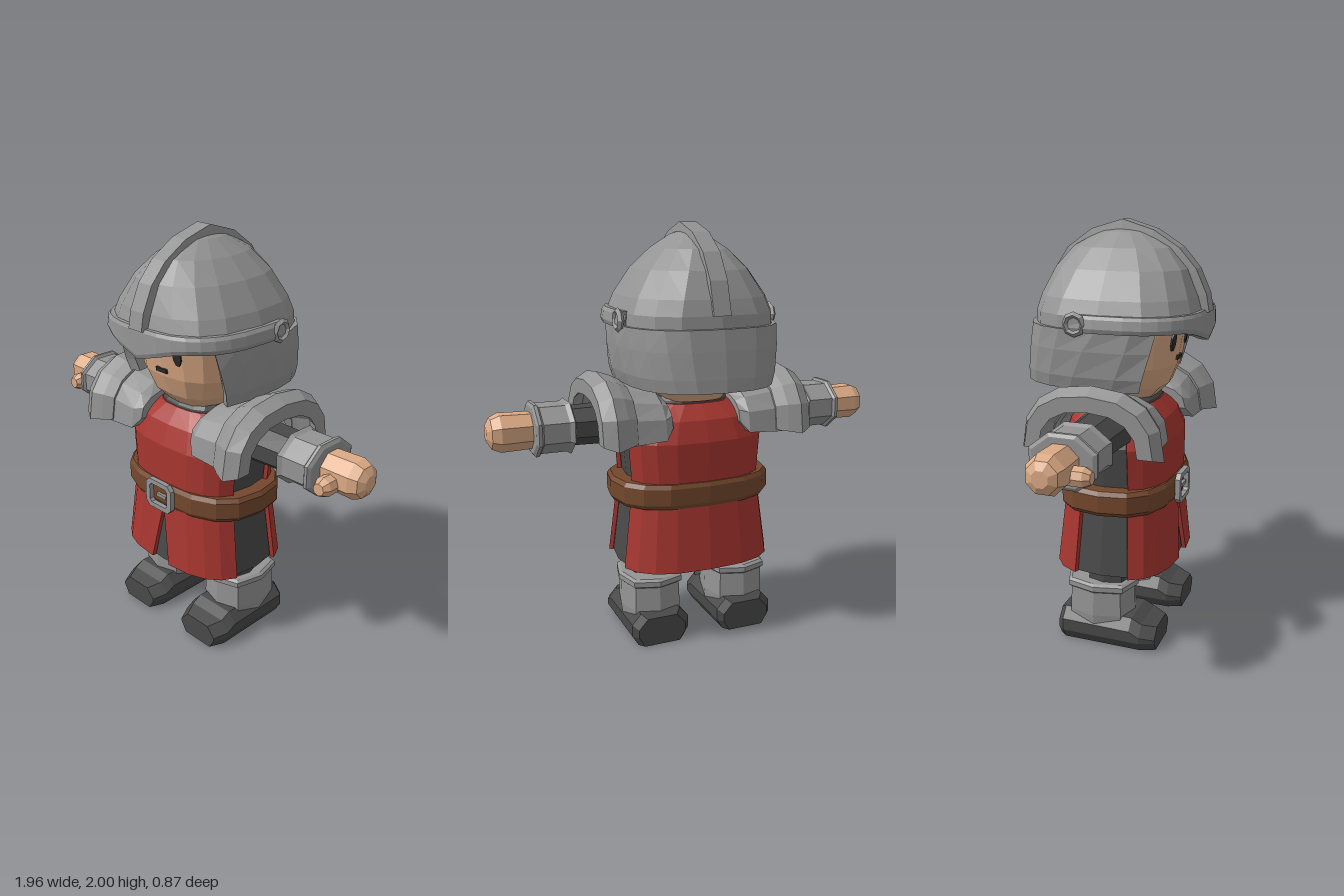
import * as THREE from 'three';

const paint = (name, color) => {
  const m = new THREE.MeshStandardMaterial({ color });
  m.name = name;
  return m;
};
const rad = THREE.MathUtils.degToRad;
const lerp = THREE.MathUtils.lerp;

// Faceted normals for the low-poly look
function facet(geo) {
  const g = geo.index ? geo.toNonIndexed() : geo;
  g.deleteAttribute('uv');
  g.computeVertexNormals();
  return g;
}

// Closed solid through equal-length rings of [x, y, z]; turned outwards by its signed volume
function loft(rings) {
  const tris = [], n = rings[0].length, last = rings[rings.length - 1];
  const quad = (a, b, c, d) => tris.push([a, b, c], [a, c, d]);
  for (let i = 0; i < rings.length - 1; i++) {
    for (let j = 0; j < n; j++) {
      const k = (j + 1) % n;
      quad(rings[i][j], rings[i][k], rings[i + 1][k], rings[i + 1][j]);
    }
  }
  for (let j = 0; j < n / 2 - 1; j++) {
    quad(rings[0][n - 1 - j], rings[0][n - 2 - j], rings[0][j + 1], rings[0][j]);
    quad(last[j], last[j + 1], last[n - 2 - j], last[n - 1 - j]);
  }
  let volume = 0;
  for (const [a, b, c] of tris) {
    volume += a[0] * (b[1] * c[2] - b[2] * c[1]) + a[1] * (b[2] * c[0] - b[0] * c[2])
      + a[2] * (b[0] * c[1] - b[1] * c[0]);
  }
  const geo = new THREE.BufferGeometry();
  const flat = tris.flatMap(([a, b, c]) => (volume < 0 ? [a, c, b] : [a, b, c])).flat();
  geo.setAttribute('position', new THREE.Float32BufferAttribute(flat, 3));
  return facet(geo);
}

function mirrored(geo) {
  const g = geo.clone(), p = g.attributes.position;
  for (let i = 0; i < p.count; i += 3) {
    [0, 2, 1].forEach((s, k) => p.setXYZ(i + k, -geo.attributes.position.getX(i + s),
      geo.attributes.position.getY(i + s), geo.attributes.position.getZ(i + s)));
  }
  g.computeVertexNormals();
  return g;
}

// Point on a rounded-square outline; t in degrees, 90 is the front
function outline(t, rx, zf, zb, p, off = 0) {
  const c = Math.cos(rad(t)), s = Math.sin(rad(t));
  const pw = (v) => Math.sign(v) * Math.abs(v) ** (2 / p);
  return [pw(c) * (rx + off), (zf + zb) / 2 + pw(s) * ((zf - zb) / 2 + off)];
}

// Solid stacked from levels [y, rx, zFront, zBack, power]
function stack(levels, n = 16, off = 0) {
  return loft(levels.map(([y, rx, zf, zb, p = 2.8]) => Array.from({ length: n }, (_, j) => {
    const [x, z] = outline(j * 360 / n, rx, zf, zb, p, off);
    return [x, y, z];
  })));
}

// Curved plate over part of a stack; each level adds its start and end angle
function shell(levels, n, thick, drop = () => 0) {
  return loft(levels.map(([y, rx, zf, zb, p, t0, t1]) => {
    const row = (off) => Array.from({ length: n + 1 }, (_, j) => {
      const [x, z] = outline(lerp(t0, t1, j / n), rx, zf, zb, p, off);
      return [x, y - drop(x, z, y), z];
    });
    return [...row(0), ...row(-thick).reverse()];
  }));
}

// Solid along x from sections [x, ry, rz]
const limb = (sections, y, z, n = 8) => loft(sections.map(([x, ry, rz]) =>
  Array.from({ length: n }, (_, j) => {
    const a = (j + 0.5) * 2 * Math.PI / n, k = 1 / Math.cos(Math.PI / n);
    return [x, y + Math.sin(a) * ry * k, z + Math.cos(a) * rz * k];
  })));

// Arched shoulder plate from sections [x, half depth, top, bottom]
const arch = (sections, thick) => loft(sections.map(([x, hz, top, bottom]) => {
  const row = (off) => Array.from({ length: 9 }, (_, j) => {
    const [z, y] = outline(j * 22.5, hz, top - bottom, bottom - top, 2.4, -off);
    return [x, bottom + Math.max(0, y), 0.03 + z];
  });
  return [...row(0), ...row(thick).reverse()];
}));

export function createModel() {
  const model = new THREE.Group();
  model.name = 'soldier';
  const steel = paint('steel', 0x949494), dark = paint('dark cloth', 0x494949);
  const red = paint('red cloth', 0xa83630), leather = paint('brown leather', 0x74482d);
  const skin = paint('skin', 0xdcaa85), ink = paint('face ink', 0x2c2c2c);

  const add = (name, geo, mat) => {
    const mesh = new THREE.Mesh(geo, mat);
    mesh.name = name;
    model.add(mesh);
    return mesh;
  };
  const pair = (name, geo, mat) => {
    add(name + 'Left', geo, mat);
    add(name + 'Right', mirrored(geo), mat);
  };

  // Body: dark gown under red panels
  const body = [
    [0.38, 0.385, 0.32, -0.265], [0.69, 0.345, 0.29, -0.23], [0.81, 0.335, 0.285, -0.225],
    [1.0, 0.35, 0.285, -0.23], [1.1, 0.3, 0.25, -0.2], [1.17, 0.18, 0.19, -0.14],
  ];
  add('gown', stack(body, 16, -0.015), dark);
  const panel = (t0, t1) => body.map(([y, rx, zf, zb]) => [y, rx + 0.006, zf + 0.006, zb - 0.006, 2.8, t0(y), t1]);
  pair('tunicFront', shell(panel(() => 20, 0).map((l) => [...l.slice(0, 5), 20, l[0] < 0.5 ? 86 : 90]), 4, 0.02), red);
  add('tunicBack', shell(panel(() => 197, 343), 8, 0.02), red);
  add('collar', stack([[1.13, 0.19, 0.2, -0.15], [1.18, 0.18, 0.19, -0.13], [1.215, 0.155, 0.16, -0.1]]), dark);

  // Belt and buckle
  add('belt', stack([[0.69, 0.385, 0.298, -0.24, 2.6], [0.71, 0.4, 0.31, -0.25, 2.6],
    [0.79, 0.4, 0.31, -0.25, 2.6], [0.81, 0.385, 0.298, -0.24, 2.6]]), leather);
  const octagon = (path, w, h, c) => {
    [[w - c, -h], [w, c - h], [w, h - c], [w - c, h], [c - w, h], [-w, h - c], [-w, c - h], [c - w, -h]]
      .forEach(([x, y], i) => (i ? path.lineTo(x, y) : path.moveTo(x, y)));
    path.closePath();
    return path;
  };
  const frame = octagon(new THREE.Shape(), 0.088, 0.075, 0.025);
  frame.holes.push(octagon(new THREE.Path(), 0.06, 0.05, 0.012));
  add('buckle', facet(new THREE.ExtrudeGeometry(frame, { depth: 0.025, bevelEnabled: false })), steel)
    .position.set(0, 0.747, 0.305);
  add('bucklePin', facet(new THREE.BoxGeometry(0.065, 0.018, 0.015)), steel).position.set(0.012, 0.747, 0.316);

  // Head and face
  add('head', stack([[1.18, 0.15, 0.17, -0.15, 2.6], [1.25, 0.21, 0.24, -0.2, 2.6], [1.35, 0.262, 0.28, -0.24, 2.6],
    [1.5, 0.28, 0.305, -0.25, 2.6], [1.62, 0.27, 0.3, -0.24, 2.6]]), skin);
  const eye = new THREE.CylinderGeometry(0.024, 0.024, 0.009, 8);
  eye.rotateX(Math.PI / 2).rotateZ(Math.PI / 8).scale(1, 2, 1);
  eye.rotateX(0.16).rotateY(0.12).translate(0.107, 1.47, 0.291);
  pair('eye', facet(eye), ink);
  const mouth = add('mouth', facet(new THREE.BoxGeometry(0.07, 0.02, 0.009)), ink);
  mouth.position.set(0, 1.38, 0.287);
  mouth.rotation.x = 0.16;

  // Helmet: dome, crest, neck guard, brow band and hinges
  add('helmetDome', stack([[1.535, 0.365, 0.41, -0.375, 2.8], [1.6, 0.36, 0.41, -0.37, 2.8],
    [1.67, 0.333, 0.39, -0.35, 2.7], [1.79, 0.255, 0.34, -0.295, 2.5], [1.88, 0.165, 0.26, -0.22, 2.3],
    [1.945, 0.075, 0.14, -0.1, 2], [1.97, 0.01, 0.03, 0.01, 2]]), steel);
  const ridge = [[0.435, 1.6], [0.42, 1.68], [0.37, 1.79], [0.29, 1.88], [0.17, 1.955], [0.02, 2],
    [-0.13, 1.955], [-0.25, 1.87], [-0.33, 1.75], [-0.375, 1.6]];
  add('helmetCrest', loft(ridge.map(([z, y]) => {
    const zi = lerp(0.02, z, 0.88), yi = lerp(1.58, y, 0.88);
    return [[-0.05, yi, zi], [-0.042, y, z], [0.042, y, z], [0.05, yi, zi]];
  })), steel);
  add('neckGuard', shell([[1.27, 0.345, 0.42, -0.43, 2.7, 22, -202], [1.33, 0.365, 0.415, -0.425, 2.7, 25, -205],
    [1.45, 0.378, 0.405, -0.41, 2.7, 32, -212], [1.545, 0.378, 0.4, -0.395, 2.7, 37, -217]], 14, 0.045), steel);
  const dip = (x, z, y) => (z > 0 && y < 1.59 ? 0.068 * Math.max(0, 1 - Math.abs(x) / 0.23) : 0);
  add('browBand', shell([[1.535, 0.385, 0.425, -0.385, 2.8, -12, 192], [1.555, 0.392, 0.432, -0.392, 2.8, -12, 192],
    [1.595, 0.385, 0.428, -0.385, 2.8, -12, 192], [1.61, 0.372, 0.42, -0.375, 2.8, -12, 192]], 18, 0.04, dip), steel);
  pair('hingeRing', facet(new THREE.TorusGeometry(0.042, 0.015, 4, 8).rotateY(Math.PI / 2).translate(0.382, 1.57, -0.08)), steel);
  pair('hingePin', facet(new THREE.CylinderGeometry(0.035, 0.035, 0.03, 8).rotateZ(Math.PI / 2).translate(0.37, 1.57, -0.08)), steel);

  // Shoulders and arms
  pair('shoulderCollarPlate', arch([[0.17, 0.245, 1.2, 1.08], [0.21, 0.275, 1.24, 1.03], [0.38, 0.275, 1.27, 1.02]], 0.05), steel);
  pair('shoulderPlate', arch([[0.35, 0.28, 1.28, 1.03], [0.4, 0.31, 1.305, 1.025],
    [0.46, 0.335, 1.325, 1.015], [0.52, 0.3, 1.29, 1.035]], 0.07), steel);
  pair('sleeve', limb([[0.25, 0.1, 0.13], [0.4, 0.09, 0.12], [0.62, 0.085, 0.11]], 1.08, 0.03), dark);
  pair('gauntlet', limb([[0.595, 0.105, 0.135], [0.605, 0.12, 0.152], [0.625, 0.108, 0.14], [0.745, 0.108, 0.14],
    [0.755, 0.12, 0.152], [0.77, 0.12, 0.152], [0.78, 0.105, 0.135]], 1.08, 0.03), steel);
  pair('hand', limb([[0.74, 0.08, 0.08], [0.92, 0.085, 0.085], [0.96, 0.068, 0.068], [0.98, 0.035, 0.035]], 1.077, 0.025), skin);
  const thumb = new THREE.LatheGeometry([[0, 0.03], [0.045, 0.03], [0.045, 0.155], [0.028, 0.185], [0, 0.185]]
    .map(([r, h]) => new THREE.Vector2(r, h)), 8);
  pair('thumb', facet(thumb.rotateX(Math.PI / 2).translate(0.835, 1.053, 0)), skin);

  // Legs and shoes
  const legX = 0.225;
  const leg = (levels) => stack(levels, 8).translate(legX, 0, 0);
  pair('leg', leg([[0.25, 0.105, 0.135, -0.075], [0.45, 0.105, 0.135, -0.075]]), dark);
  pair('greave', leg([[0.1, 0.14, 0.15, -0.17], [0.16, 0.147, 0.155, -0.172], [0.28, 0.143, 0.152, -0.168],
    [0.29, 0.155, 0.17, -0.183], [0.315, 0.155, 0.17, -0.183], [0.325, 0.14, 0.155, -0.168]]), steel);
  const shoe = [[-0.2, 0.12, 0.14], [-0.17, 0.145, 0.16], [0.17, 0.145, 0.155], [0.22, 0.145, 0.13], [0.29, 0.115, 0.115]];
  pair('shoe', loft(shoe.map(([z, w, h]) => [[w - 0.03, 0], [w, 0.05], [w, h - 0.05], [w - 0.045, h],
    [0.045 - w, h], [-w, h - 0.05], [-w, 0.05], [0.03 - w, 0]].map(([x, y]) => [legX + x, y, z]))), dark);

  return model;
}
